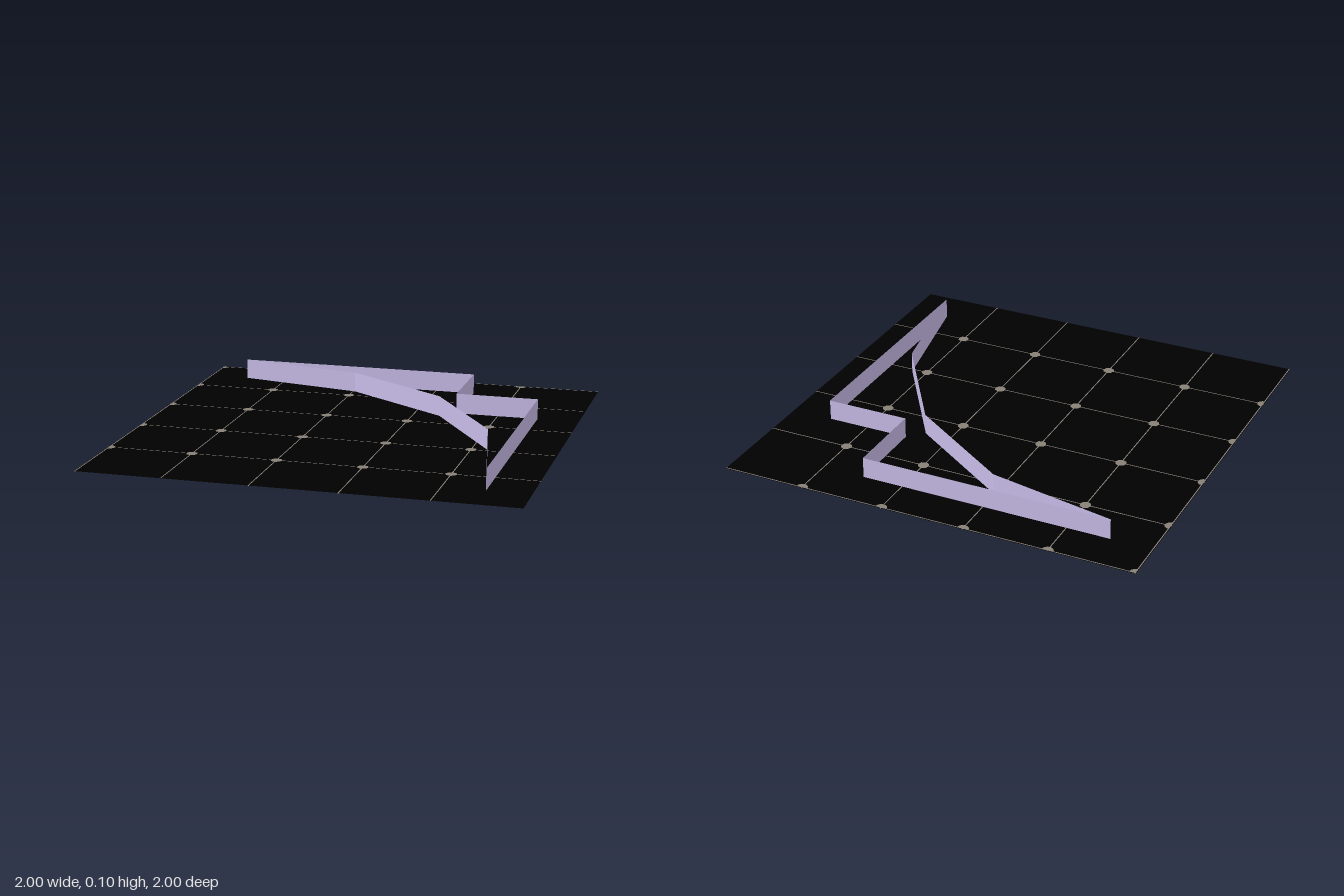
import * as THREE from 'three';
import { mergeGeometries } from 'three/addons/utils/BufferGeometryUtils.js';

const flat = (name, color) => {
  const m = new THREE.MeshStandardMaterial({ color, side: THREE.DoubleSide });
  m.name = name;
  return m;
};

export function createModel() {
  const group = new THREE.Group();
  const black = flat('black', 0x000000);
  const taupe = flat('taupe', 0x878076);
  const lavender = flat('lavender', 0xc8bce8);
  const grey = flat('paleGrey', 0xe4e4e4);
  const add = (name, geometry, material, y = 0) => {
    const mesh = new THREE.Mesh(geometry, material);
    mesh.name = name;
    mesh.position.y = y;
    group.add(mesh);
  };

  // Outline in x and z: stepped corner, then a four-sided quarter arc back
  const outline = [[-0.8, -0.8], [0.4, -0.8], [0.4, -0.4], [0.8, -0.4], [0.8, 0.8]]
    .map(([x, z]) => new THREE.Vector2(x, z));
  for (let i = 1; i < 4; i++) {
    const a = (i * Math.PI) / 8;
    outline.push(new THREE.Vector2(-0.8 + 1.6 * Math.cos(a), 0.8 - 1.6 * Math.sin(a)));
  }

  // Underside plate and open-topped walls
  add('underside', new THREE.ShapeGeometry(new THREE.Shape(outline)).rotateX(Math.PI / 2), grey);
  const walls = outline.map((p, i) => {
    const q = outline[(i + 1) % outline.length];
    const d = q.clone().sub(p);
    // each panel faces out of the outline
    return new THREE.PlaneGeometry(d.length(), 0.1)
      .rotateY(Math.PI - Math.atan2(d.y, d.x))
      .translate((p.x + q.x) / 2, 0.05, (p.y + q.y) / 2);
  });
  add('walls', mergeGeometries(walls), lavender);

  // Ground sheet
  add('ground', new THREE.PlaneGeometry(2, 2).rotateX(-Math.PI / 2), black, 0.002);

  // Tile lines and dots, trimmed at the left and back edges
  const line = 0.005, dot = 0.027, inset = 0.005, parts = [];
  for (let i = 0; i < 5; i++) {
    const a = -1 + i * 0.4 + inset;
    parts.push(new THREE.PlaneGeometry(line, 2).translate(a, 0, 0));
    parts.push(new THREE.PlaneGeometry(2, line).translate(0, -a, 0));
    for (let j = 0; j < 5; j++) {
      let start = 0, sweep = Math.PI * 2;
      if (i === 0 && j === 0) [start, sweep] = [Math.PI * 1.5, Math.PI / 2];
      else if (i === 0) [start, sweep] = [-Math.PI / 2, Math.PI];
      else if (j === 0) [start, sweep] = [Math.PI, Math.PI];
      parts.push(new THREE.CircleGeometry(dot, 8, start, sweep).translate(a, 1 - j * 0.4 - inset, 0));
    }
  }
  const pattern = mergeGeometries(parts).rotateX(-Math.PI / 2);
  add('tilePatternTop', pattern, taupe, 0.003);
  add('tilePatternBottom', pattern, taupe, 0.001);

  return group;
}
